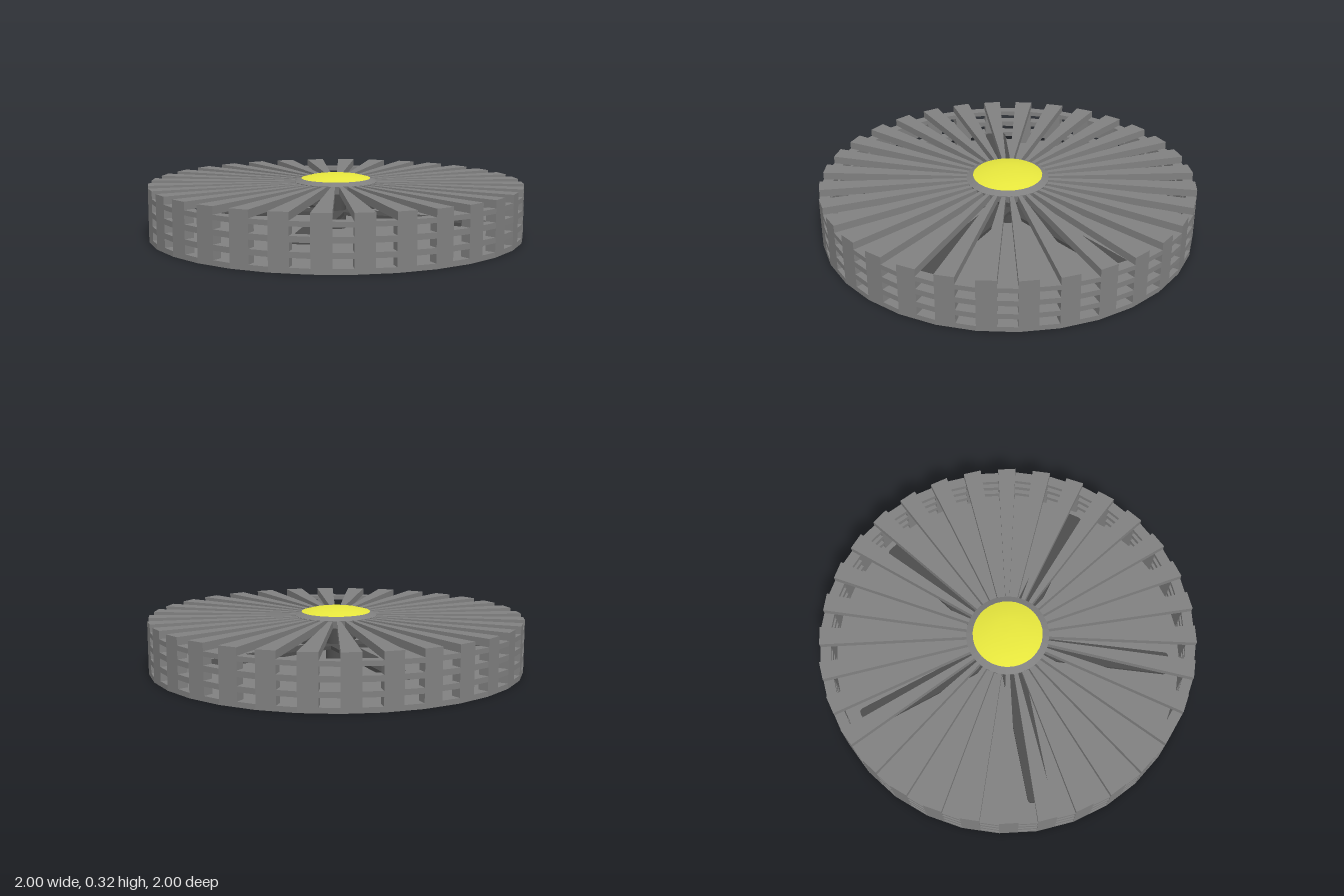
import * as THREE from 'three';

const SIDES = 32, STEP = Math.PI * 2 / SIDES;
const WALL = 0.945, TOP = 0.28;

// Point on the 32-sided outline, u counted in sides from the front towards +x
function outline(u, r) {
  const k = Math.floor(u), t = u - k;
  const a = k * STEP, b = (k + 1) * STEP;
  return [r * (Math.sin(a) * (1 - t) + Math.sin(b) * t), r * (Math.cos(a) * (1 - t) + Math.cos(b) * t)];
}

// Upright prism over a floor plan given as [x, z] points
function prism(points, y0, y1) {
  const shape = new THREE.Shape(points.map(([x, z]) => new THREE.Vector2(x, -z)));
  const geo = new THREE.ExtrudeGeometry(shape, { depth: y1 - y0, bevelEnabled: false });
  return geo.rotateX(-Math.PI / 2).translate(0, y0, 0);
}

function sector(u0, u1, r0, r1, y0, y1) {
  return prism([outline(u0, r0), outline(u0, r1), outline(u1, r1), outline(u1, r0)], y0, y1);
}

export function createModel() {
  const model = new THREE.Group();
  const grey = new THREE.MeshStandardMaterial({ color: 0x808080 });
  grey.name = 'casing grey';
  const dark = new THREE.MeshStandardMaterial({ color: 0x4c4c4c });
  dark.name = 'rotor dark grey';
  const yellow = new THREE.MeshStandardMaterial({ color: 0xf0f040 });
  yellow.name = 'cap yellow';

  const add = (name, geo, mat, parent = model) => {
    const mesh = new THREE.Mesh(geo, mat);
    mesh.name = name;
    parent.add(mesh);
    return mesh;
  };

  // Solid floor
  const rim = Array.from({ length: SIDES }, (_, k) => outline(k, 1));
  add('basePlate', prism(rim, 0, 0.027), grey);

  // Posts, top spokes and the three bars that bridge each gap
  const cage = new THREE.Group();
  cage.name = 'cage';
  model.add(cage);
  for (let k = 0; k < SIDES; k++) {
    add('post', sector(k, k + 0.5, WALL, 1, 0.027, 0.24), grey, cage);
    add('spoke', sector(k, k + 0.5, 0.17, 1, 0.24, TOP), grey, cage);
    for (const [y0, y1] of [[0.072, 0.1], [0.143, 0.172], [0.215, 0.24]]) {
      add('sideBar', sector(k + 0.5, k + 1, WALL, 1, y0, y1), grey, cage);
    }
  }

  // Hub with a sloped shoulder
  const profile = (pts) => pts.map(([x, y]) => new THREE.Vector2(x, y));
  add('hub', new THREE.LatheGeometry(profile([[0, 0.24], [0.21, 0.24], [0.22, 0.281], [0.185, 0.298], [0, 0.298]]), SIDES)
    .toNonIndexed(), grey).geometry.computeVertexNormals();

  // Shallow domed cap
  add('cap', new THREE.LatheGeometry(
    profile([[0.185, 0.298], [0.135, 0.311], [0.07, 0.32], [0, 0.321]]), SIDES), yellow);

  // Rotor: shaft and five round-ended blades
  const rotor = new THREE.Group();
  rotor.name = 'rotor';
  model.add(rotor);
  add('shaft', new THREE.CylinderGeometry(0.055, 0.055, 0.22, 24).translate(0, 0.135, 0), dark, rotor);
  const w = 0.06, c = 0.025, tip = 0.87;
  const plan = new THREE.Shape();
  plan.moveTo(0, -w);
  plan.lineTo(tip - c, -w);
  plan.quadraticCurveTo(tip, -w, tip, -w + c);
  plan.lineTo(tip, w - c);
  plan.quadraticCurveTo(tip, w, tip - c, w);
  plan.lineTo(0, w);
  const blade = new THREE.ExtrudeGeometry(plan, { depth: 0.018, bevelEnabled: false, curveSegments: 5 })
    .rotateX(-Math.PI / 2).translate(0, 0.109, 0);
  for (let i = 0; i < 5; i++) {
    add('blade', blade, dark, rotor).rotation.y = i * Math.PI * 2 / 5;
  }

  return model;
}
